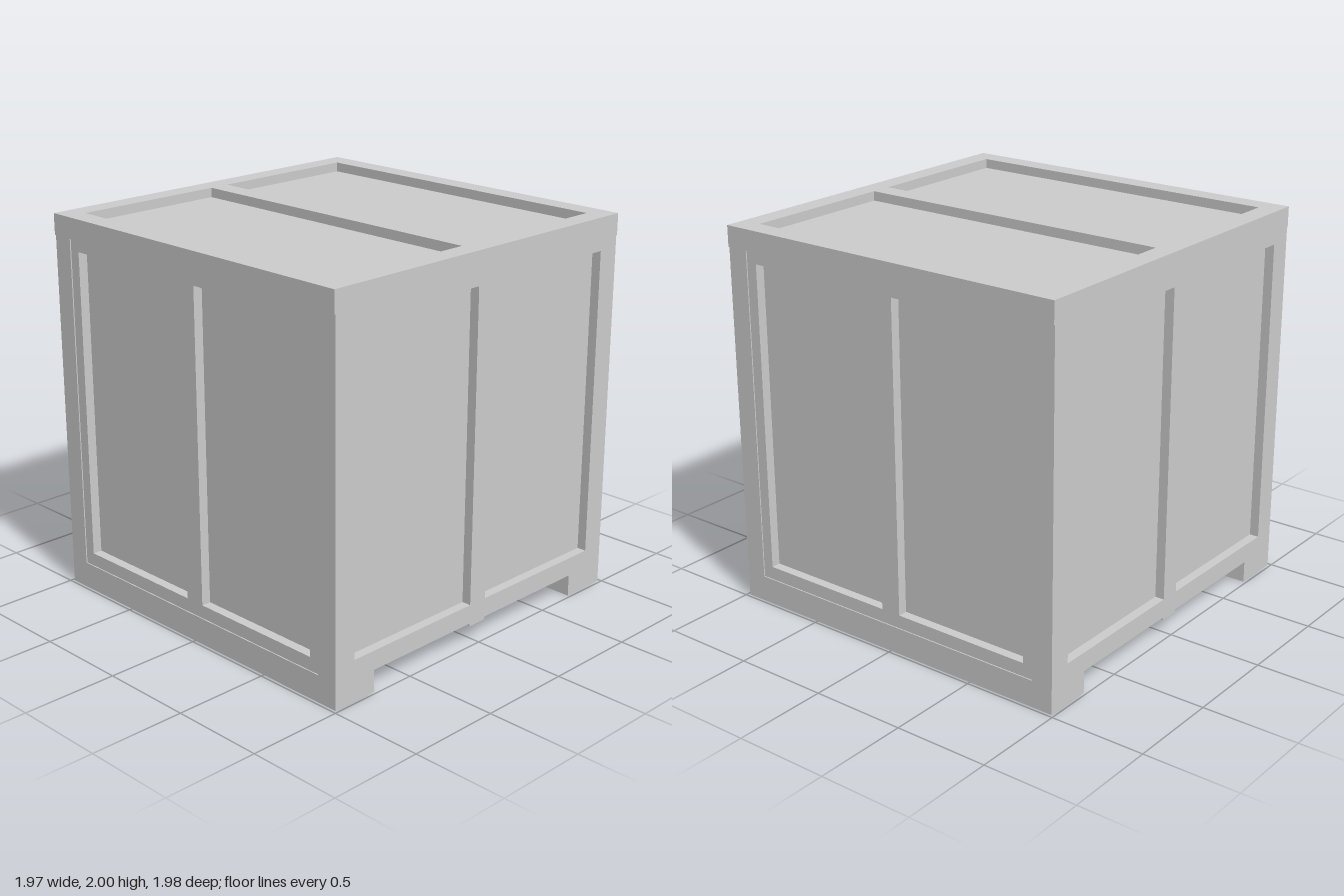
import * as THREE from 'three';

const HX = 0.985, HZ = 0.99;      // half width and half depth of the lid
const BODY_Z = 0.984;             // body sits slightly inside the lid at front and back
const DEPTH = 0.05;               // depth of the sunken panels
const BASE = 0.115, LID = 1.89;   // underside and top of the body
const STEP = 0.006;               // raised border on front and back

export function createModel() {
  const crate = new THREE.Group();
  crate.name = 'crate';
  const grey = new THREE.MeshStandardMaterial({ color: 0xcccccc });
  grey.name = 'light grey';

  const add = (name, geometry, x = 0, y = 0, z = 0) => {
    const mesh = new THREE.Mesh(geometry, grey);
    mesh.name = name;
    mesh.position.set(x, y, z);
    crate.add(mesh);
    return mesh;
  };

  // Box given by its size and its lower and upper height
  const box = (name, w, y0, y1, d, z = 0) =>
    add(name, new THREE.BoxGeometry(w, y1 - y0, d), 0, (y0 + y1) / 2, z);

  const trace = (path, [x0, y0, x1, y1]) => {
    path.moveTo(x0, y0);
    path.lineTo(x1, y0);
    path.lineTo(x1, y1);
    path.lineTo(x0, y1);
    path.closePath();
    return path;
  };

  // Flat plate with rectangular openings, extruded along +z
  const frame = (outer, holes, depth) => {
    const shape = trace(new THREE.Shape(), outer);
    holes.forEach((h) => shape.holes.push(trace(new THREE.Path(), h)));
    return new THREE.ExtrudeGeometry(shape, { depth, bevelEnabled: false });
  };

  // Solid core whose faces are the sunken panels
  const coreX = HX - DEPTH, frameZ = BODY_Z - STEP, coreZ = frameZ - DEPTH;
  box('core', coreX * 2, BASE, LID, coreZ * 2);

  // Lid with two long sunken panels
  box('lid', HX * 2, LID, 2 - DEPTH, HZ * 2);
  const topFrame = frame([-HX, -HZ, HX, HZ],
    [[-0.875, 0.055, 0.875, 0.88], [-0.875, -0.88, 0.875, -0.055]], DEPTH);
  topFrame.rotateX(-Math.PI / 2);
  add('lidFrame', topFrame, 0, 2 - DEPTH, 0);

  for (const s of [1, -1]) {
    const end = s > 0 ? 'front' : 'back';
    const side = s > 0 ? 'left' : 'right';
    const turn = s > 0 ? 0 : Math.PI;

    // Front and back: framed panels inside a slightly raised border
    add(`${end}Frame`, frame([-coreX, BASE, coreX, LID],
      [[-0.813, 0.21, -0.055, 1.83], [0.055, 0.21, 0.813, 1.83]], DEPTH),
    0, 0, s * coreZ).rotation.y = turn;
    add(`${end}Border`, frame([-coreX, BASE, coreX, LID],
      [[-0.872, 0.14, 0.872, LID - 0.001]], STEP),
    0, 0, s * frameZ).rotation.y = turn;

    // Left and right: full-depth framed panels
    add(`${side}Frame`, frame([-BODY_Z, BASE, BODY_Z, LID],
      [[-0.862, 0.215, -0.055, 1.83], [0.055, 0.215, 0.862, 1.83]], DEPTH),
    s * coreX).rotation.y = s * Math.PI / 2;

    // Runner under each end
    box(`${end}Runner`, HX * 2, 0, BASE, BODY_Z - 0.73, s * (BODY_Z + 0.73) / 2);
  }

  // Shallow strip under the middle
  box('middleStrip', HX * 2, 0.1, BASE, 0.11);

  return crate;
}
